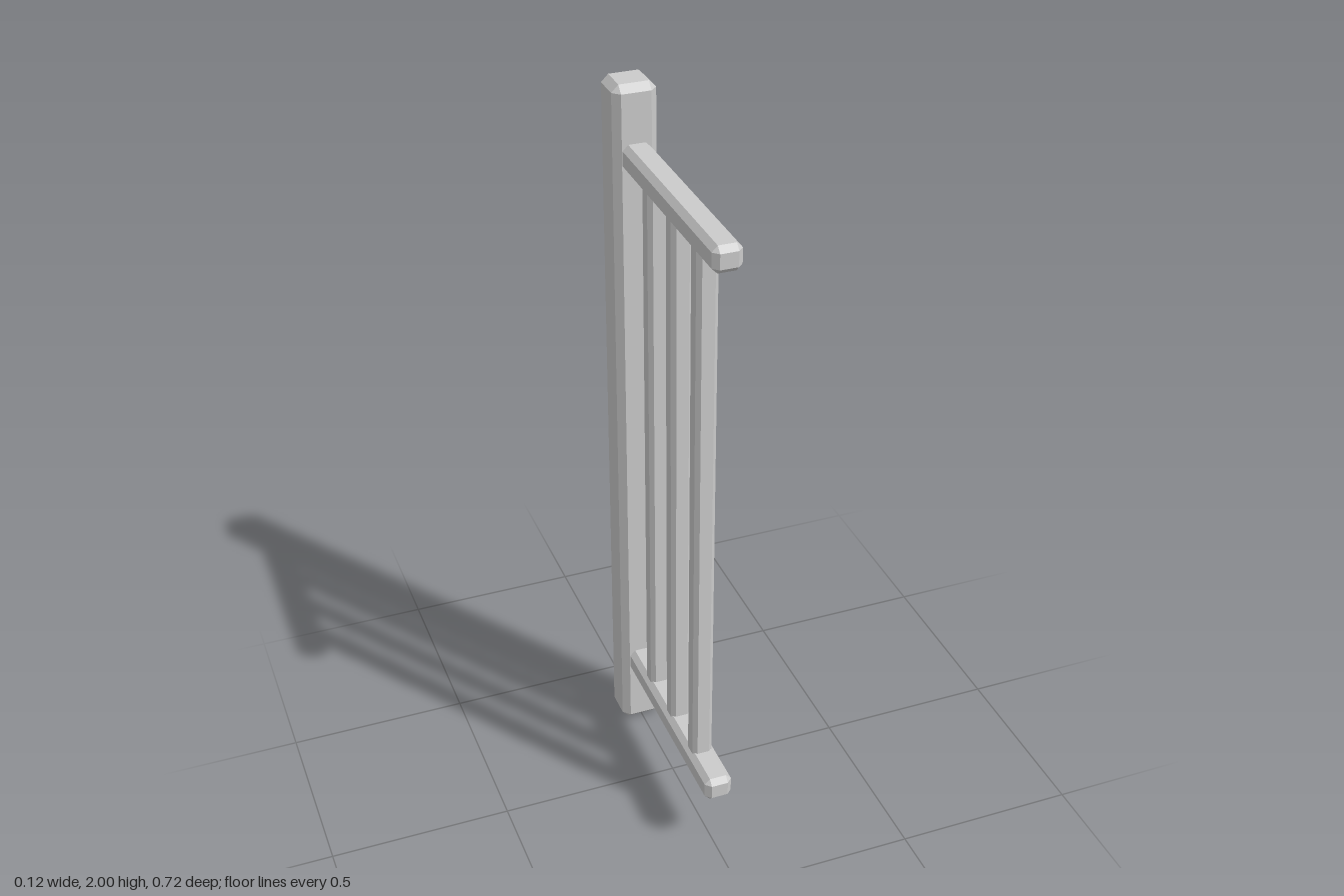
import * as THREE from 'three';
import { ConvexGeometry } from 'three/addons/geometries/ConvexGeometry.js';

const material = new THREE.MeshStandardMaterial({ color: 0xcccccc, flatShading: true });

// Box with every edge cut by a flat chamfer c, spanning min to max
function chamferedBar(name, min, max, c) {
  const half = min.map((m, i) => (max[i] - m) / 2);
  const points = [];
  for (let axis = 0; axis < 3; axis++)
    for (const sx of [-1, 1]) for (const sy of [-1, 1]) for (const sz of [-1, 1]) {
      const p = [sx, sy, sz].map((s, i) => s * (half[i] - (i === axis ? 0 : c)));
      points.push(new THREE.Vector3(...p));
    }
  const mesh = new THREE.Mesh(new ConvexGeometry(points), material);
  mesh.name = name;
  mesh.position.set(...min.map((m, i) => (m + max[i]) / 2));
  return mesh;
}

export function createModel() {
  const model = new THREE.Group();
  model.name = 'fenceSection';

  // Tall post at the back
  model.add(chamferedBar('post', [-0.0585, 0, -0.36], [0.0585, 2, -0.247], 0.019));

  // Two rails running forward from inside the post
  [['lowerRail', 0.188], ['upperRail', 1.778]].forEach(([name, y]) =>
    model.add(chamferedBar(name, [-0.038, y, -0.3], [0.038, y + 0.07, 0.357], 0.015)));

  // Three slim balusters, their ends set into the rails
  [0.209, 0.044, -0.117].forEach((z, i) =>
    model.add(chamferedBar(`baluster${i + 1}`, [-0.028, 0.222, z - 0.027], [0.028, 1.814, z + 0.027], 0.011)));

  return model;
}
